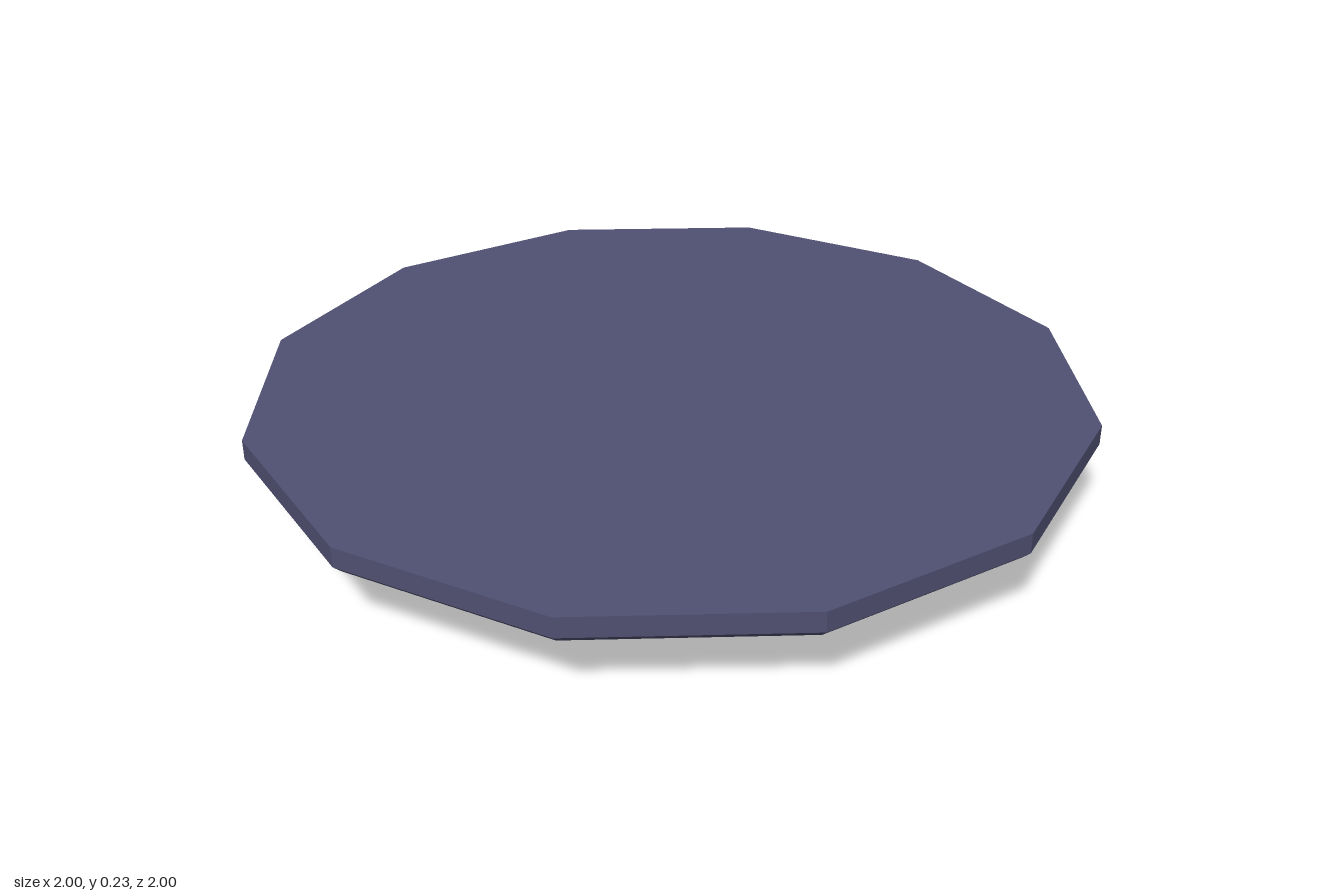
import * as THREE from 'three';

const SIDES = 12;

// Twelve-sided turned part; profile points are [radius, height], bottom to top.
function turned(name, profile, color) {
  const points = profile.map(([r, y]) => new THREE.Vector2(r, y));
  const material = new THREE.MeshStandardMaterial({ flatShading: true });
  material.color.set(color);
  const mesh = new THREE.Mesh(new THREE.LatheGeometry(points, SIDES), material);
  mesh.name = name;
  return mesh;
}

export function createModel() {
  const group = new THREE.Group();
  group.name = 'ceilingLamp';
  const metal = 0x505073;
  const glass = 0x858480;

  // Mounting plate with a chamfered lower edge
  group.add(turned('mountingPlate',
    [[0.89, 0.168], [0.98, 0.168], [1, 0.187], [1, 0.235], [0, 0.235]], metal));

  // Tapered collar with a sloped underside that holds the diffuser
  group.add(turned('collar',
    [[0.75, 0.08], [0.868, 0.095], [0.895, 0.168]], metal));

  // Shallow diffuser dome
  group.add(turned('diffuser',
    [[0, 0], [0.48, 0.003], [0.67, 0.035], [0.755, 0.08]], glass));

  return group;
}
